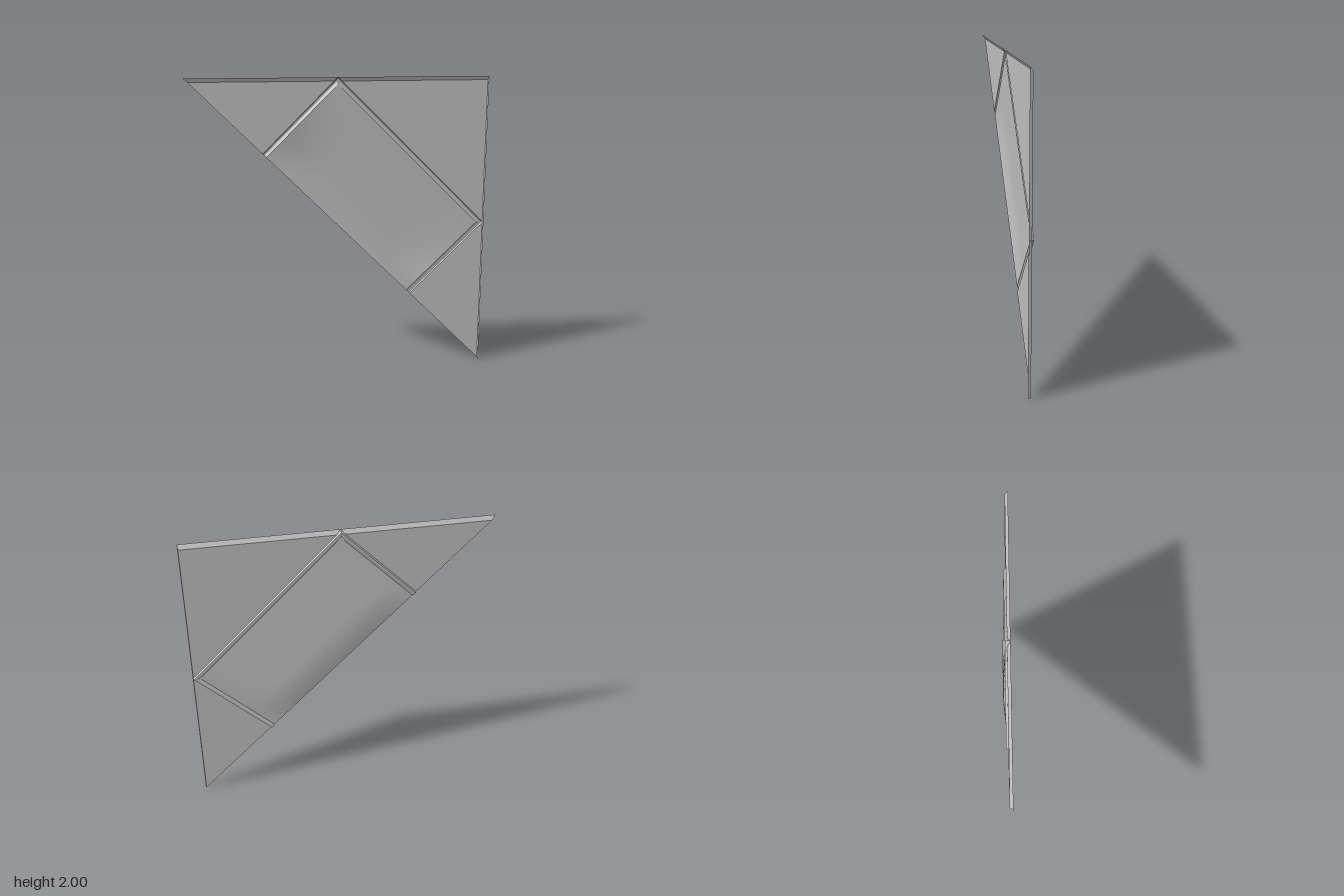
import * as THREE from 'three';

const PLATE = 0.004, RIM = 0.024, RIDGE = -0.009;
const A = Math.SQRT1_2; // half length and depth of the pan
const FOLD = 0.027, SIDE = 0.996;

// Pan coordinates: u runs along the long sloping edge, v away from it
const fromPan = (u, v, z) => [(u + v) * A, 1 + (v - u) * A, z];

// Flat-shaded sheet made from convex polygons
function sheet(name, polygons, material) {
  const positions = [];
  for (const p of polygons) {
    for (let i = 1; i < p.length - 1; i++) positions.push(...p[0], ...p[i], ...p[i + 1]);
  }
  const geometry = new THREE.BufferGeometry();
  geometry.setAttribute('position', new THREE.Float32BufferAttribute(positions, 3));
  geometry.computeVertexNormals();
  const mesh = new THREE.Mesh(geometry, material);
  mesh.name = name;
  return mesh;
}

export function createModel() {
  const group = new THREE.Group();
  group.name = 'triangularPanel';
  const grey = new THREE.MeshStandardMaterial({ color: 0xbcbcbc, side: THREE.DoubleSide });
  grey.name = 'grey';

  const top = 2 - FOLD, inset = 1 - SIDE;
  const leftOuter = [-1 + FOLD, top, PLATE], leftInner = [-FOLD, top, PLATE];
  const rightInner = [FOLD, top, PLATE], corner = [SIDE, top, PLATE];
  const sideUpper = [SIDE, 1 + inset, PLATE], sideLower = [SIDE, 1 - inset, PLATE];
  const tip = [SIDE, inset, PLATE];

  // Three flat plates around the pan
  group.add(sheet('flatPlates', [
    [[-0.5, 1.5, PLATE], leftInner, leftOuter],
    [rightInner, sideUpper, corner],
    [[0.5, 0.5, PLATE], tip, sideLower],
  ], grey));

  // Edges folded forward along the top and the side
  const rimTop = [0, 2, RIM], rimSide = [1, 1, RIM];
  group.add(sheet('topFlange', [
    [leftOuter, leftInner, rimTop, [-1, 2, RIM]],
    [rightInner, corner, [1, 2, RIM], rimTop],
  ], grey));
  group.add(sheet('sideFlange', [
    [corner, sideUpper, rimSide, [1, 2, RIM]],
    [sideLower, tip, [1, 0, RIM], rimSide],
  ], grey));

  // Small webs where the pan corners meet the folds
  const panTop = [0, 2, PLATE], panSide = [1, 1, PLATE];
  group.add(sheet('cornerWebs', [
    [leftInner, panTop, rimTop], [panTop, rightInner, rimTop],
    [sideUpper, panSide, rimSide], [panSide, sideLower, rimSide],
  ], grey));

  // Pressed bead around three sides of the pan: [inset, z]
  const profile = [[0, PLATE], [0.006, RIDGE], [0.018, RIDGE], [0.034, 0.002]];
  const path = d => [[-A + d, 0], [-A + d, A - d], [A - d, A - d], [A - d, 0]];
  const bead = [];
  for (let i = 0; i < profile.length - 1; i++) {
    const [d0, z0] = profile[i], [d1, z1] = profile[i + 1];
    const outer = path(d0), inner = path(d1);
    for (let k = 0; k < 3; k++) {
      bead.push([
        fromPan(...outer[k], z0), fromPan(...inner[k], z1),
        fromPan(...inner[k + 1], z1), fromPan(...outer[k + 1], z0),
      ]);
    }
  }
  group.add(sheet('panBead', bead, grey));

  // Pan floor, bulging to the back, steepest beside the long sloping edge
  const [d, edgeZ] = profile[3];
  const w = 2 * (A - d), h = A - d;
  const rise = t => 1 - Math.pow(1 - Math.min(1, t), 2.5);
  const geometry = new THREE.PlaneGeometry(w, h, 48, 28);
  const pos = geometry.attributes.position;
  for (let i = 0; i < pos.count; i++) {
    const u = pos.getX(i), v = pos.getY(i) + h / 2;
    const along = rise((w / 2 - Math.abs(u)) / 0.4);
    const across = rise(v / 0.32) * Math.min(1, (h - v) / (h - 0.15));
    pos.setXYZ(i, ...fromPan(u, v, edgeZ - 0.029 * along * across));
  }
  geometry.computeVertexNormals();
  const floor = new THREE.Mesh(geometry, grey);
  floor.name = 'panFloor';
  group.add(floor);

  return group;
}
